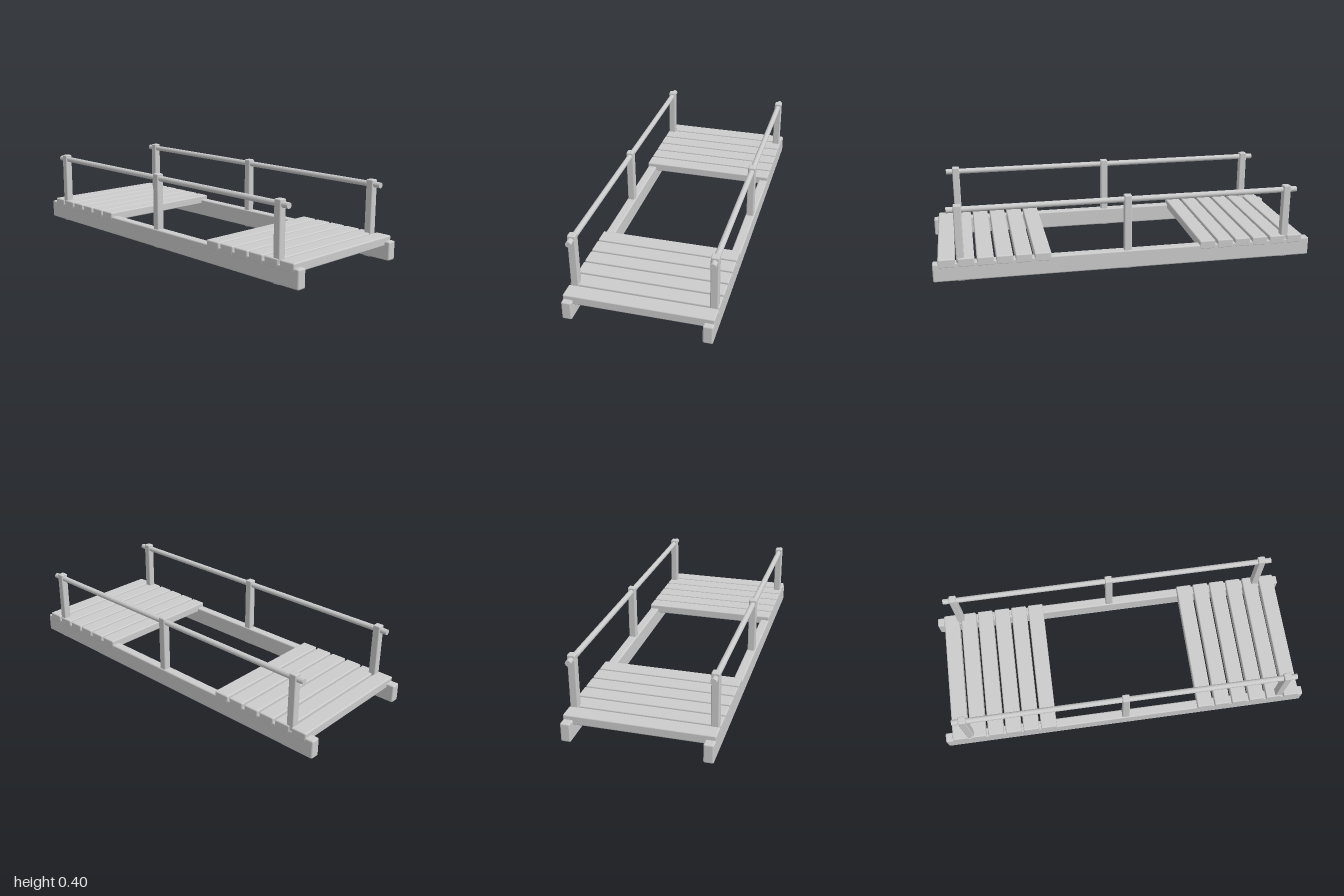
import * as THREE from 'three';
import { RoundedBoxGeometry } from 'three/addons/geometries/RoundedBoxGeometry.js';

const material = new THREE.MeshStandardMaterial({ color: 0xcccccc });

export function createModel() {
  const model = new THREE.Group();

  const add = (name, geometry, x, y, z) => {
    const mesh = new THREE.Mesh(geometry, material);
    mesh.name = name;
    mesh.position.set(x, y, z);
    model.add(mesh);
    return mesh;
  };

  // Shared timber shapes with softened edges
  const beam = new RoundedBoxGeometry(2, 0.098, 0.05, 2, 0.008);
  const post = new RoundedBoxGeometry(0.04, 0.4, 0.04, 2, 0.006);
  const plank = new RoundedBoxGeometry(0.086, 0.048, 0.74, 2, 0.007);
  const rail = new THREE.CylinderGeometry(0.015, 0.015, 1.83, 16);

  // Each side: a long beam, three posts and a round handrail
  for (const [side, z] of [['front', 0.344], ['back', -0.344]]) {
    add(side + 'Beam', beam, 0, 0.053, z);
    for (const x of [-0.86, 0, 0.86]) add(side + 'Post', post, x, 0.2, z);
    add(side + 'Handrail', rail, 0, 0.375, z).rotation.z = Math.PI / 2;
  }

  // Two decks of six planks, leaving the middle open
  for (const [name, start] of [['rightPlank', -0.915], ['leftPlank', 0.444]]) {
    for (let i = 0; i < 6; i++) add(name, plank, start + i * 0.0971, 0.101, 0);
  }

  return model;
}
